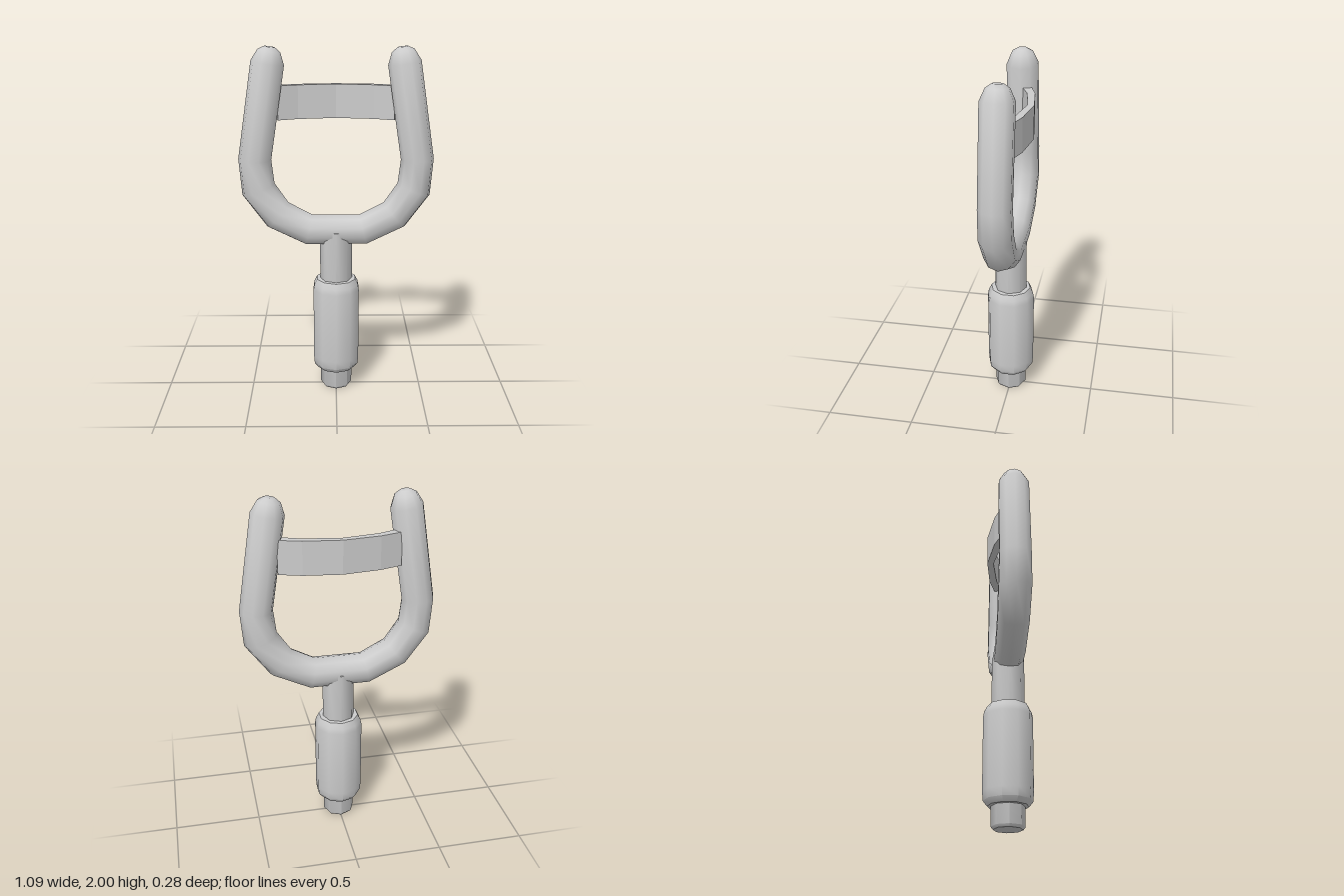
import * as THREE from 'three';
import { mergeVertices, toCreasedNormals } from 'three/addons/utils/BufferGeometryUtils.js';

const SIDES = 10;

// Skin a list of equal-length vertex rings, closing both ends with a fan.
function loft(rings, crease) {
  const n = rings[0].length;
  const pos = rings.flat(2);
  const index = [];
  for (let i = 0; i < rings.length - 1; i++) {
    for (let j = 0; j < n; j++) {
      const a = i * n + j, b = i * n + (j + 1) % n;
      index.push(a, b, a + n, b, b + n, a + n);
    }
  }
  const last = (rings.length - 1) * n;
  for (let j = 1; j < n - 1; j++) {
    index.push(0, j + 1, j, last, last + j, last + j + 1);
  }
  const g = new THREE.BufferGeometry();
  g.setAttribute('position', new THREE.Float32BufferAttribute(pos, 3));
  g.setIndex(index);
  return toCreasedNormals(g, crease);
}

// U-shaped tube in the xy plane, with mitred bends and domed tips.
function forkGeometry() {
  // x, y, radius from the left tip down to the middle
  const half = [
    [0.357, 2.0, 0.03], [0.36, 1.979, 0.062], [0.37, 1.915, 0.091],
    [0.453, 1.385, 0.091], [0.437, 1.215, 0.094], [0.33, 1.065, 0.091], [0.155, 0.977, 0.088],
  ];
  const path = [...half, ...half.map(([x, y, r]) => [-x, y, r]).reverse()];
  const dir = (a, b) => new THREE.Vector2(b[0] - a[0], b[1] - a[1]).normalize();
  const rings = path.map((p, i) => {
    const d0 = i > 0 ? dir(path[i - 1], p) : dir(p, path[i + 1]);
    const d1 = i < path.length - 1 ? dir(p, path[i + 1]) : d0;
    const t = d0.clone().add(d1).normalize();
    const mitre = 1 / t.dot(d0);
    return Array.from({ length: SIDES }, (_, j) => {
      const a = (j / SIDES) * Math.PI * 2;
      const u = Math.cos(a) * p[2] * mitre;
      return [p[0] - t.y * u, p[1] + t.x * u, Math.sin(a) * p[2]];
    });
  });
  return loft(rings, 1.0);
}

// Turned part from [radius, height] pairs, bottom to top.
function turned(profile, sides, crease) {
  const pts = profile.map(([r, y]) => new THREE.Vector2(r, y));
  const g = new THREE.LatheGeometry(pts, sides);
  g.deleteAttribute('normal');
  g.deleteAttribute('uv');
  return toCreasedNormals(mergeVertices(g, 1e-4), crease);
}

// Bowed strap: plan outline extruded upwards.
function strapGeometry() {
  const outer = [[-0.335, -0.058], [-0.21, -0.098], [0, -0.125], [0.21, -0.098], [0.335, -0.058]];
  const inner = [[0.32, -0.008], [0.21, -0.053], [0, -0.088], [-0.21, -0.053], [-0.32, -0.008]];
  const shape = new THREE.Shape([...outer, ...inner].map(([x, z]) => new THREE.Vector2(x, -z)));
  const g = new THREE.ExtrudeGeometry(shape, { depth: 0.188, bevelEnabled: false });
  g.rotateX(-Math.PI / 2);
  g.translate(0, 1.602, 0);
  return g;
}

export function createModel() {
  const model = new THREE.Group();
  const grey = new THREE.MeshStandardMaterial({ color: 0xcccccc });
  grey.name = 'light grey';

  const add = (name, geometry) => {
    const mesh = new THREE.Mesh(geometry, grey);
    mesh.name = name;
    model.add(mesh);
  };

  add('fork', forkGeometry());
  add('strap', strapGeometry());
  // Straight stem with a small bevel at the foot
  add('stem', turned([[0, 0], [0.08, 0], [0.092, 0.015], [0.092, 0.977], [0, 0.977]], 8, 0.9));
  // Thick handle sleeve with chamfered ends
  add('grip', turned([[0, 0.122], [0.112, 0.122], [0.134, 0.15], [0.138, 0.2],
    [0.138, 0.62], [0.132, 0.65], [0.115, 0.683], [0, 0.683]], SIDES, 0.8));

  return model;
}
